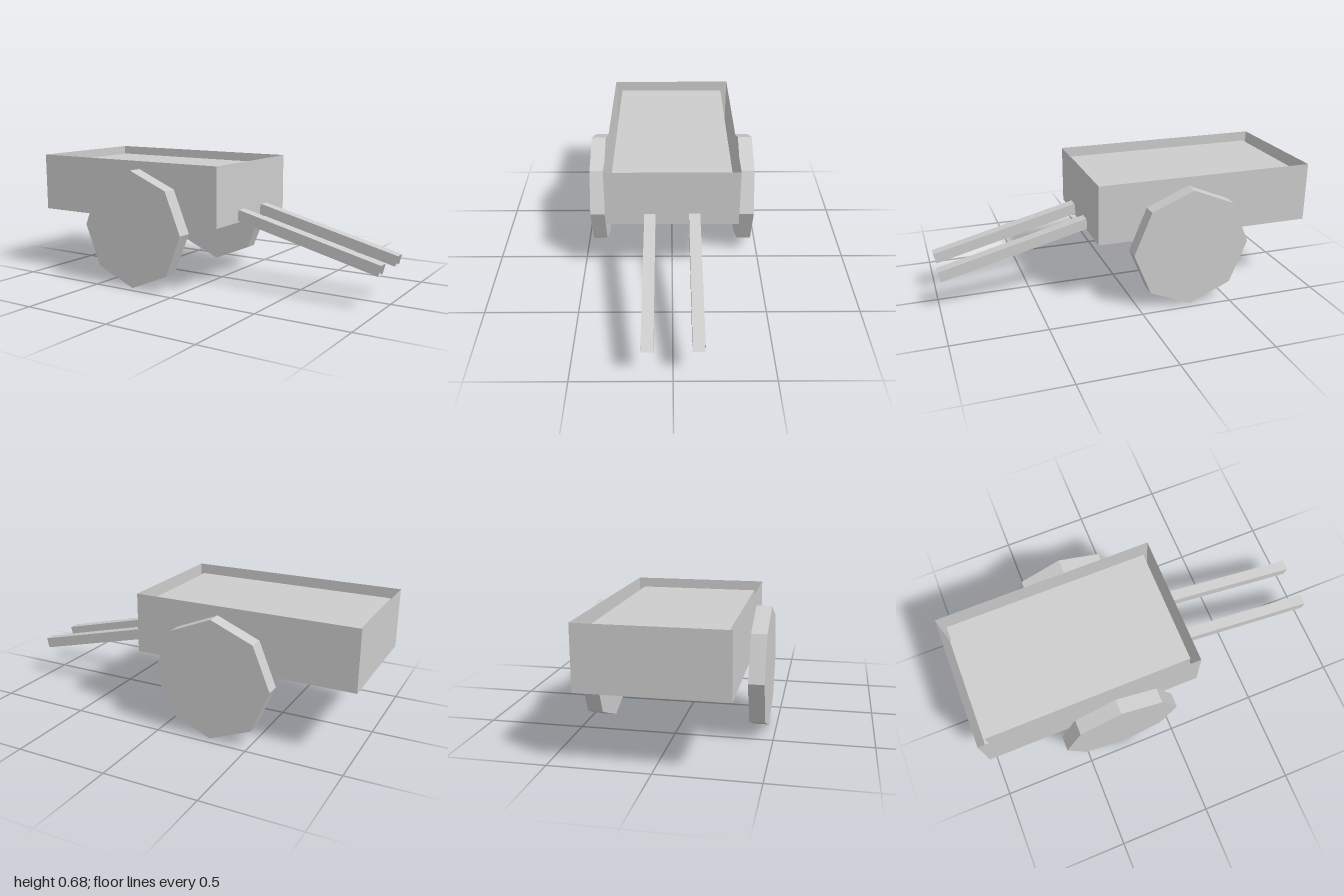
import * as THREE from 'three';

const grey = new THREE.MeshStandardMaterial({ color: 0xcccccc, side: THREE.DoubleSide, flatShading: true });
grey.name = 'plain grey';

// Box with some of its faces left out (order: +x, -x, +y, -y, +z, -z)
function openBox(w, h, d, missing) {
  const g = new THREE.BoxGeometry(w, h, d);
  const index = Array.from(g.index.array);
  g.setIndex(index.filter((_, i) => !missing.includes(Math.floor(i / 6))));
  g.clearGroups();
  return g;
}

export function createModel() {
  const cart = new THREE.Group();
  cart.name = 'handCart';

  function add(name, geometry, x, y, z) {
    const mesh = new THREE.Mesh(geometry, grey);
    mesh.name = name;
    mesh.position.set(x, y, z);
    cart.add(mesh);
    return mesh;
  }

  // Cart body: thin shell open at the top, with an inset bed just below the rim
  add('body', openBox(1.195, 0.32, 0.72, [2]), -0.4025, 0.52, 0);
  add('bed', new THREE.BoxGeometry(1.115, 0.265, 0.64), -0.4025, 0.5025, 0);

  // Eight-sided wheels and hollow, sloping pull shafts, one per side
  for (const side of [1, -1]) {
    const wheelShape = new THREE.CylinderGeometry(0.32, 0.32, 0.08, 8);
    wheelShape.rotateX(Math.PI / 2);
    add(side > 0 ? 'frontWheel' : 'backWheel', wheelShape, -0.284, 0.32, side * 0.42);

    const shaft = add(side > 0 ? 'frontShaft' : 'backShaft',
      openBox(0.823, 0.058, 0.06, [0, 1]), 0.592, 0.301, side * 0.12);
    shaft.rotation.z = -0.245;
  }
  return cart;
}
